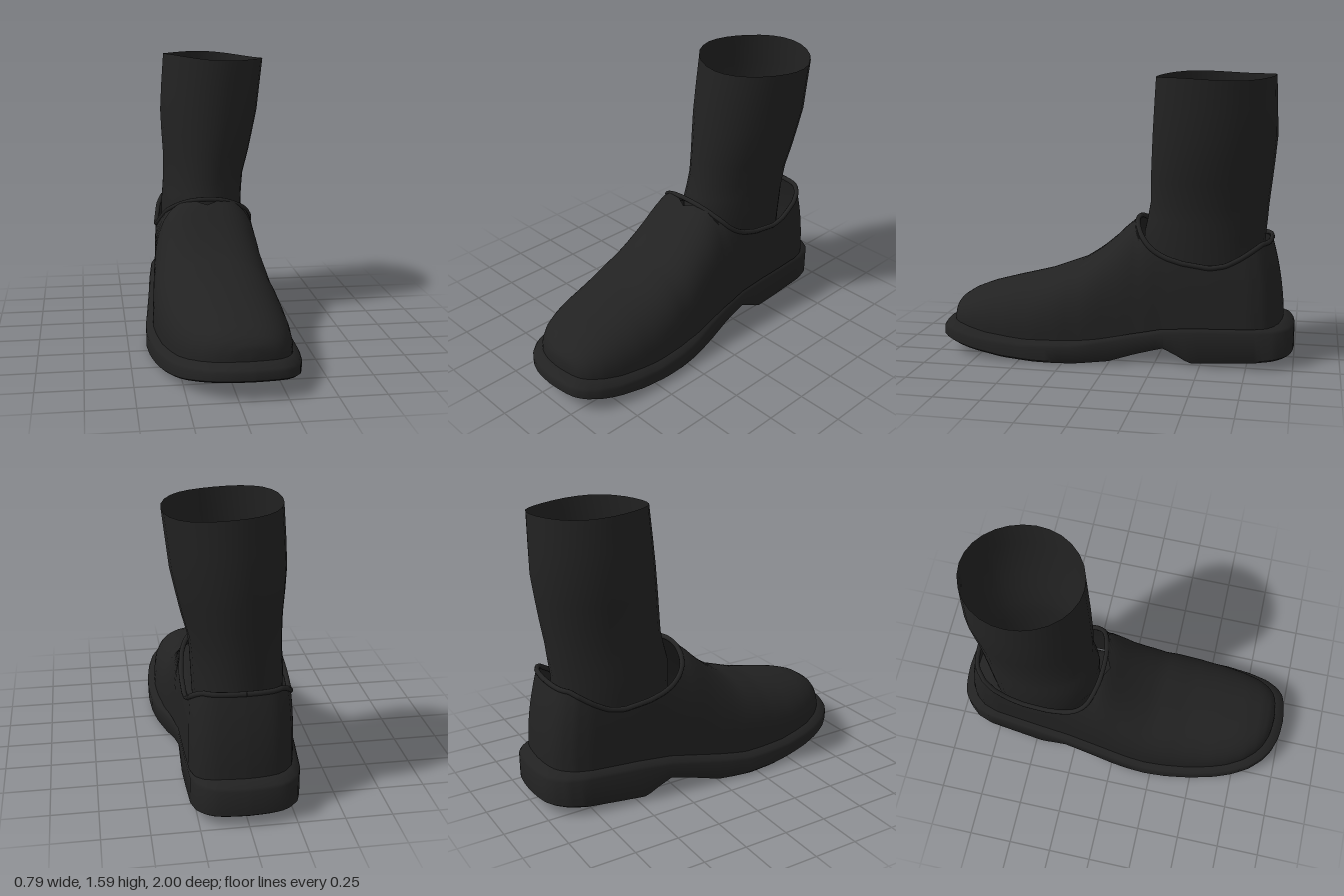
import * as THREE from 'three';
import { toCreasedNormals } from 'three/addons/utils/BufferGeometryUtils.js';

const charcoal = new THREE.MeshStandardMaterial({ color: 0x222222, side: THREE.DoubleSide });
charcoal.name = 'charcoal';

// Piecewise interpolation through [key, value] pairs with rising keys
function lerpTable(table, k) {
  if (k <= table[0][0]) return table[0][1];
  for (let i = 1; i < table.length; i++) {
    const [k0, v0] = table[i - 1], [k1, v1] = table[i];
    if (k <= k1) return v0 + (v1 - v0) * (k - k0) / (k1 - k0);
  }
  return table[table.length - 1][1];
}

// Skin a list of cross-sections; skip names a column that stays open
function loft(rows, { closed = false, skip = -1, crease = 1 } = {}) {
  const n = rows[0].length, index = [];
  for (let i = 0; i < rows.length - 1; i++) {
    for (let j = 0; j < (closed ? n : n - 1); j++) {
      if (j === skip) continue;
      const a = i * n + j, b = i * n + (j + 1) % n;
      index.push(a, a + n, b, b, a + n, b + n);
    }
  }
  const g = new THREE.BufferGeometry();
  g.setAttribute('position', new THREE.Float32BufferAttribute(rows.flat(2), 3));
  g.setIndex(index);
  return toCreasedNormals(g, crease);
}

// Sole outline: x of each edge along z
const rightEdge = [[-1, 0], [-0.995, -0.09], [-0.98, -0.17], [-0.95, -0.22], [-0.89, -0.27], [-0.8, -0.3], [-0.5, -0.333],
  [-0.3, -0.35], [-0.1, -0.372], [0.1, -0.395], [0.22, -0.4], [0.35, -0.392], [0.5, -0.37], [0.65, -0.335], [0.75, -0.3],
  [0.85, -0.245], [0.92, -0.18], [0.96, -0.12], [0.985, -0.05], [0.995, 0.0], [1, 0.08]];
const leftEdge = [[-1, 0], [-0.995, 0.09], [-0.98, 0.17], [-0.95, 0.22], [-0.9, 0.26], [-0.82, 0.28], [-0.6, 0.285],
  [-0.3, 0.285], [-0.15, 0.298], [0, 0.322], [0.15, 0.36], [0.3, 0.384], [0.45, 0.392], [0.6, 0.386], [0.75, 0.366],
  [0.86, 0.335], [0.93, 0.295], [0.97, 0.25], [0.985, 0.2], [0.995, 0.14], [1, 0.08]];
const soleTop = [[-1, 0.22], [-0.5, 0.205], [-0.3, 0.19], [0, 0.135], [0.2, 0.105], [0.5, 0.1], [0.75, 0.12], [1, 0.16]];
const soleBottom = [[-1, 0.055], [-0.8, 0.037], [-0.6, 0.024], [-0.45, 0.015], [-0.38, 0.055], [-0.3, 0.092], [-0.15, 0.055],
  [0, 0.012], [0.2, 0], [0.4, 0.004], [0.6, 0.02], [0.8, 0.05], [1, 0.095]];

// Upper: ridge height along z, and the height of the opening's edge
const ridge = [[-0.94, 0.95], [-0.4, 0.95], [-0.12, 0.775], [-0.06, 0.73], [0, 0.67], [0.1, 0.585], [0.2, 0.52], [0.4, 0.448],
  [0.6, 0.4], [0.75, 0.362], [0.85, 0.325], [0.9, 0.293], [0.93, 0.255], [0.94, 0.2]];
const collar = [[-0.94, 0.69], [-0.88, 0.688], [-0.82, 0.66], [-0.72, 0.61], [-0.64, 0.575], [-0.55, 0.558], [-0.4, 0.578],
  [-0.3, 0.605], [-0.22, 0.65], [-0.16, 0.72], [-0.12, 0.775]];

const STEPS = 72;
const stations = Array.from({ length: STEPS + 1 }, (_, i) => -Math.cos(Math.PI * i / STEPS));

function soleSection(z) {
  const r = lerpTable(rightEdge, z), l = lerpTable(leftEdge, z);
  const top = lerpTable(soleTop, z), bottom = lerpTable(soleBottom, z), c = (l + r) / 2;
  const at = (edge, scale, y) => [c + (edge - c) * scale, y, z * (1 - (1 - scale) * 0.5)];
  return [
    at(r, 0.97, bottom), at(r, 1, bottom + 0.012), at(r, 1, top - 0.015), at(r, 0.98, top), at(r, 0.88, top + 0.025),
    at(l, 0.88, top + 0.025), at(l, 0.98, top), at(l, 1, top - 0.015), at(l, 1, bottom + 0.012), at(l, 0.97, bottom),
  ];
}

const HALF = 18;
// One arch of the upper, cut off at the collar behind the instep
function upperSection(s) {
  const z = s * 0.94;
  const base = lerpTable(soleTop, s) + 0.01, top = lerpTable(ridge, z);
  const r = lerpTable(rightEdge, s) * 0.9;
  const l = lerpTable(leftEdge, s) * lerpTable([[-0.2, 1], [0.2, 0.9]], z);
  const c = (l + r) / 2;
  const n = lerpTable([[-0.12, 3], [0.5, 2.4]], z);
  const cut = z < -0.12 ? Math.min(1, (lerpTable(collar, z) - base) / (top - base)) : 1;
  const end = Math.asin(Math.pow(cut, n / 2));
  const point = (edge, k) => {
    const a = end * k / HALF;
    const h = Math.pow(Math.sin(a), 2 / n);
    const w = k === HALF && cut === 1 ? 0 : Math.pow(Math.max(0, Math.cos(a)), 2 / n);
    const y = base + (top - base) * h;
    // the heel counter leans forward as it rises
    const lean = Math.max(0, (-0.6 - z) / 0.34) * 0.075 * Math.pow(Math.max(0, (y - 0.2) / 0.49), 2);
    return [c + (edge - c) * w, y, z + lean];
  };
  const row = [];
  for (let k = 0; k <= HALF; k++) row.push(point(r, k));
  for (let k = HALF; k >= 0; k--) row.push(point(l, k));
  return row;
}

// Leg rings: y, x min, x max, z min, z max
const legRings = [
  [0.24, -0.23, 0.21, -0.82, -0.2], [0.5, -0.255, 0.225, -0.82, -0.15], [0.7, -0.252, 0.235, -0.83, -0.15],
  [0.78, -0.243, 0.24, -0.838, -0.168], [0.87, -0.238, 0.25, -0.845, -0.185], [1, -0.238, 0.285, -0.86, -0.187],
  [1.12, -0.245, 0.312, -0.873, -0.193], [1.25, -0.25, 0.34, -0.885, -0.2], [1.4, -0.242, 0.357, -0.88, -0.21],
  [1.57, -0.228, 0.375, -0.873, -0.222],
];
const LEG_SIDES = 28;
function legRing([y, x0, x1, z0, z1], i) {
  const last = i === legRings.length - 1;
  return Array.from({ length: LEG_SIDES }, (_, j) => {
    const a = 2 * Math.PI * j / LEG_SIDES;
    const tilt = last ? -0.016 * Math.cos(a) + 0.006 * Math.sin(3 * a) : 0;
    return [(x0 + x1) / 2 + (x1 - x0) / 2 * Math.cos(a), y + tilt, (z0 + z1) / 2 + (z1 - z0) / 2 * Math.sin(a)];
  });
}

export function createModel() {
  const group = new THREE.Group();
  group.name = 'shoeWithSock';
  const add = (name, geometry) => {
    const mesh = new THREE.Mesh(geometry, charcoal);
    mesh.name = name;
    group.add(mesh);
    return mesh;
  };

  // Sole with welt and heel block
  add('sole', loft(stations.map(soleSection), { closed: true, crease: 0.75 }));

  // Shoe upper, open between the two halves behind the instep
  const rows = stations.map(upperSection);
  add('upper', loft(rows, { skip: HALF, crease: 1.2 }));

  // Rolled edge around the opening
  const rim = rows.filter((_, i) => stations[i] * 0.94 < -0.12);
  const rightRim = rim.map((row) => row[HALF]), leftRim = rim.map((row) => row[HALF + 1]);
  const loop = [...rightRim, ...leftRim.reverse()].map((p) => new THREE.Vector3(...p));
  const spaced = loop.filter((p, i) => i === 0 || p.distanceTo(loop[i - 1]) > 0.008);
  const rimCurve = new THREE.CatmullRomCurve3(spaced, true);
  const rimMesh = add('collarRim', new THREE.TubeGeometry(rimCurve, 140, 0.014, 8, true));
  rimMesh.position.y = -0.008;

  // Sock leg and its floor inside the shoe
  add('sockLeg', loft(legRings.map(legRing), { closed: true, crease: 1 }));
  const floor = add('sockFloor', new THREE.CircleGeometry(1, LEG_SIDES));
  floor.rotation.x = -Math.PI / 2;
  floor.scale.set(0.22, 0.31, 1);
  floor.position.set(-0.01, 0.245, -0.51);

  return group;
}
